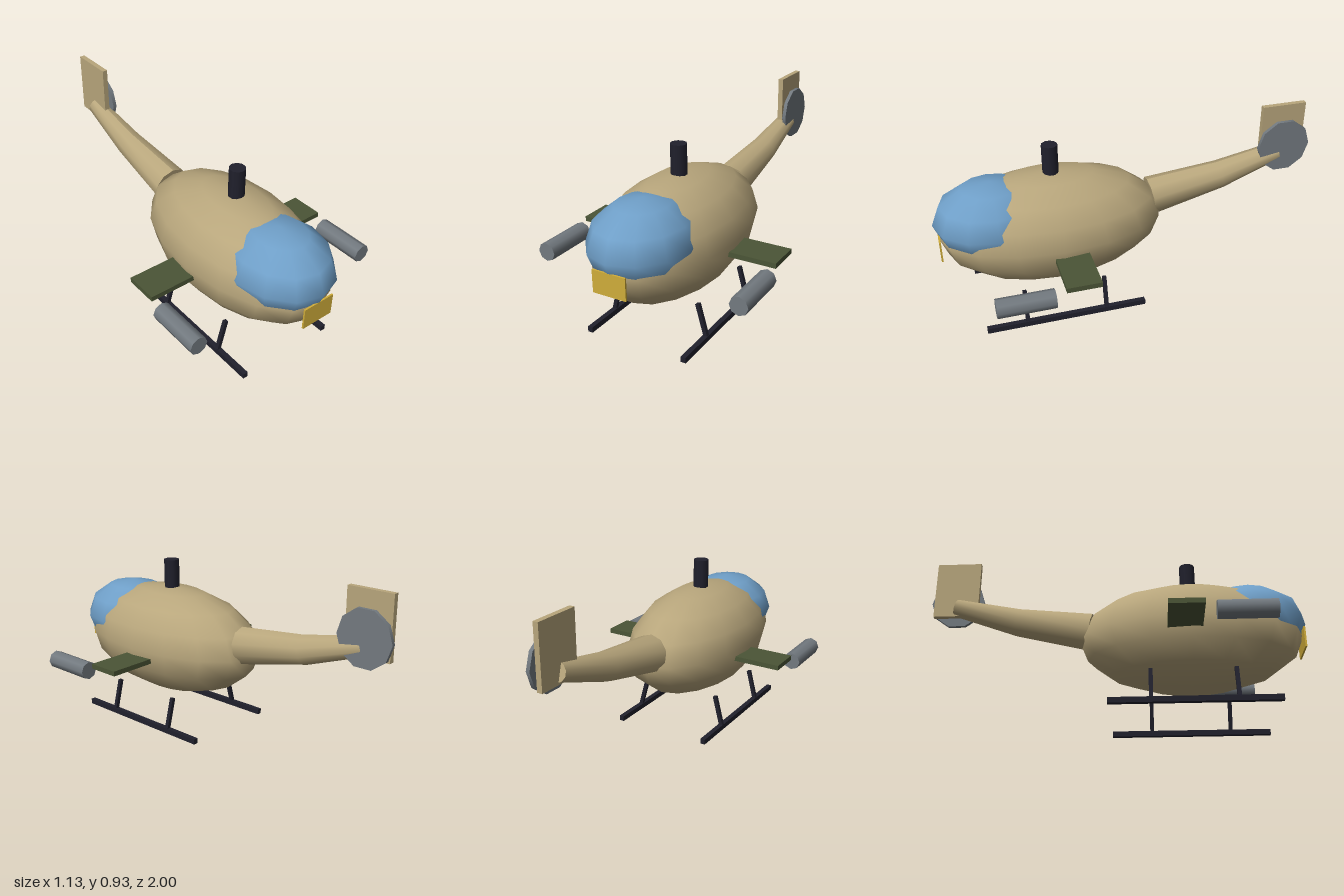
import * as THREE from 'three';

const mat = (name, color) => {
  const m = new THREE.MeshStandardMaterial({ color });
  m.name = name;
  return m;
};

export function createModel() {
  const tan = mat('tan', 0xb8a67c);
  const glass = mat('glass blue', 0x6f9fc8);
  const yellow = mat('yellow', 0xd0ad3a);
  const olive = mat('olive', 0x4b5536);
  const grey = mat('grey', 0x737a80);
  const dark = mat('dark', 0x20202c);

  const model = new THREE.Group();
  model.name = 'helicopter';
  const add = (name, geometry, material, x, y, z) => {
    const mesh = new THREE.Mesh(geometry, material);
    mesh.name = name;
    mesh.position.set(x, y, z);
    model.add(mesh);
    return mesh;
  };
  const box = (w, h, d) => new THREE.BoxGeometry(w, h, d);
  const ellipsoid = (rx, ry, rz, w, h) => new THREE.SphereGeometry(1, w, h).scale(rx, ry, rz);

  // Fuselage, canopy, nose plate and rotor mast
  add('fuselage', ellipsoid(0.31, 0.29, 0.58, 16, 8), tan, 0, 0.44, 0.4);
  add('canopy', ellipsoid(0.25, 0.203, 0.3, 12, 6), glass, 0, 0.515, 0.7);
  add('nosePlate', box(0.174, 0.112, 0.009), yellow, 0, 0.408, 0.975);
  add('rotorMast', new THREE.CylinderGeometry(0.041, 0.041, 0.18, 10), dark, 0, 0.785, 0.395);

  // Tail boom: a tube bent and tapered through three tilted rings
  const rings = [
    { y: 0.497, z: -0.125, r: 0.1, tilt: 0.17 },
    { y: 0.563, z: -0.51, r: 0.075, tilt: 0.22 },
    { y: 0.66, z: -0.855, r: 0.048, tilt: 0.27 },
  ];
  const boom = new THREE.CylinderGeometry(1, 1, 2, 10, 2).rotateX(-Math.PI / 2);
  const pos = boom.attributes.position;
  for (let i = 0; i < pos.count; i++) {
    const ring = rings[Math.round(1 - pos.getZ(i))];
    const x = pos.getX(i) * ring.r;
    const up = pos.getY(i) * ring.r;
    pos.setXYZ(i, x, ring.y + up * Math.cos(ring.tilt), ring.z + up * Math.sin(ring.tilt));
  }
  boom.computeVertexNormals();
  add('tailBoom', boom, tan, 0, 0, 0);

  // Tail fin and tail rotor disc
  add('tailFin', box(0.028, 0.32, 0.24), tan, 0, 0.765, -0.855);
  add('tailRotor', new THREE.CylinderGeometry(0.145, 0.145, 0.02, 10).rotateZ(Math.PI / 2),
    grey, 0.037, 0.703, -0.855);

  // Stub wing running through the fuselage
  add('stubWing', box(1.076, 0.026, 0.172), olive, 0, 0.392, 0.362);

  for (const side of [-1, 1]) {
    const label = side > 0 ? 'left' : 'right';
    // Weapon pod
    add(label + 'Pod', new THREE.CylinderGeometry(0.047, 0.047, 0.278, 8).rotateX(Math.PI / 2),
      grey, side * 0.52, 0.35, 0.638);
    // Landing skid and its splayed struts
    add(label + 'Skid', box(0.026, 0.028, 0.83), dark, side * 0.26, 0.014, 0.395);
    for (const z of [0.188, 0.603]) {
      const strut = add(label + 'Strut', box(0.02, 0.175, 0.02), dark, side * 0.241, 0.103, z);
      strut.rotation.z = side * 0.26;
    }
  }
  return model;
}
